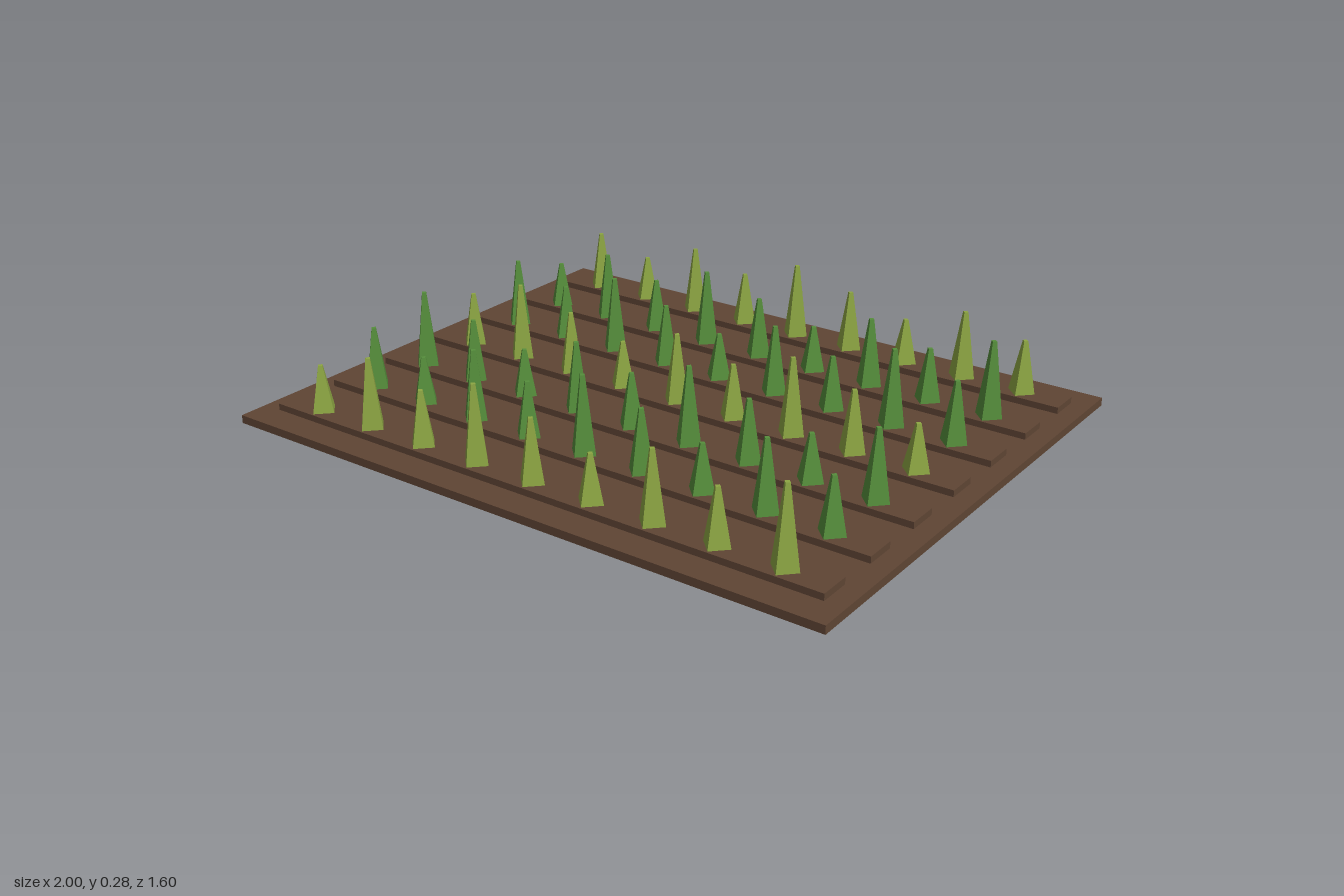
import * as THREE from 'three';

export function createModel() {
  const model = new THREE.Group();
  model.name = 'cropField';

  const material = (name, color) => {
    const m = new THREE.MeshStandardMaterial({ color });
    m.name = name;
    return m;
  };
  const soil = material('soil brown', 0x5f4534);
  const lime = material('lime green', 0x8da643);
  const green = material('leaf green', 0x568f3c);

  const add = (parent, name, geometry, mat, x, y, z) => {
    const mesh = new THREE.Mesh(geometry, mat);
    mesh.name = name;
    mesh.position.set(x, y, z);
    parent.add(mesh);
  };

  const groundTop = 0.025, bedTop = 0.045;

  // Four-sided crop spikes in five heights, corners on the x and z axes
  const spikes = [0, 1, 2, 3, 4].map((level) => {
    const height = 0.141 + level * 0.0235;
    const cone = new THREE.CylinderGeometry(0.009, 0.043, height, 4);
    cone.translate(0, height / 2, 0);
    const flat = cone.toNonIndexed();
    flat.computeVertexNormals();
    return flat;
  });

  // Flat field slab
  add(model, 'ground', new THREE.BoxGeometry(2, groundTop, 1.6), soil, 0, groundTop / 2, 0);

  // Seven raised beds, front to back, each with nine plants
  const bed = new THREE.BoxGeometry(1.88, bedTop - groundTop, 0.097);
  for (let row = 0; row < 7; row++) {
    const group = new THREE.Group();
    group.name = 'cropRow';
    group.position.z = 0.66 - row * 0.22;
    add(group, 'bed', bed, soil, 0, (groundTop + bedTop) / 2, 0);
    for (let col = 0; col < 9; col++) {
      const level = (2 * row + 3 * col) % 5;
      add(group, 'plant', spikes[level], row % 3 === 0 ? lime : green, -0.8 + col * 0.2, bedTop, 0);
    }
    model.add(group);
  }

  return model;
}
